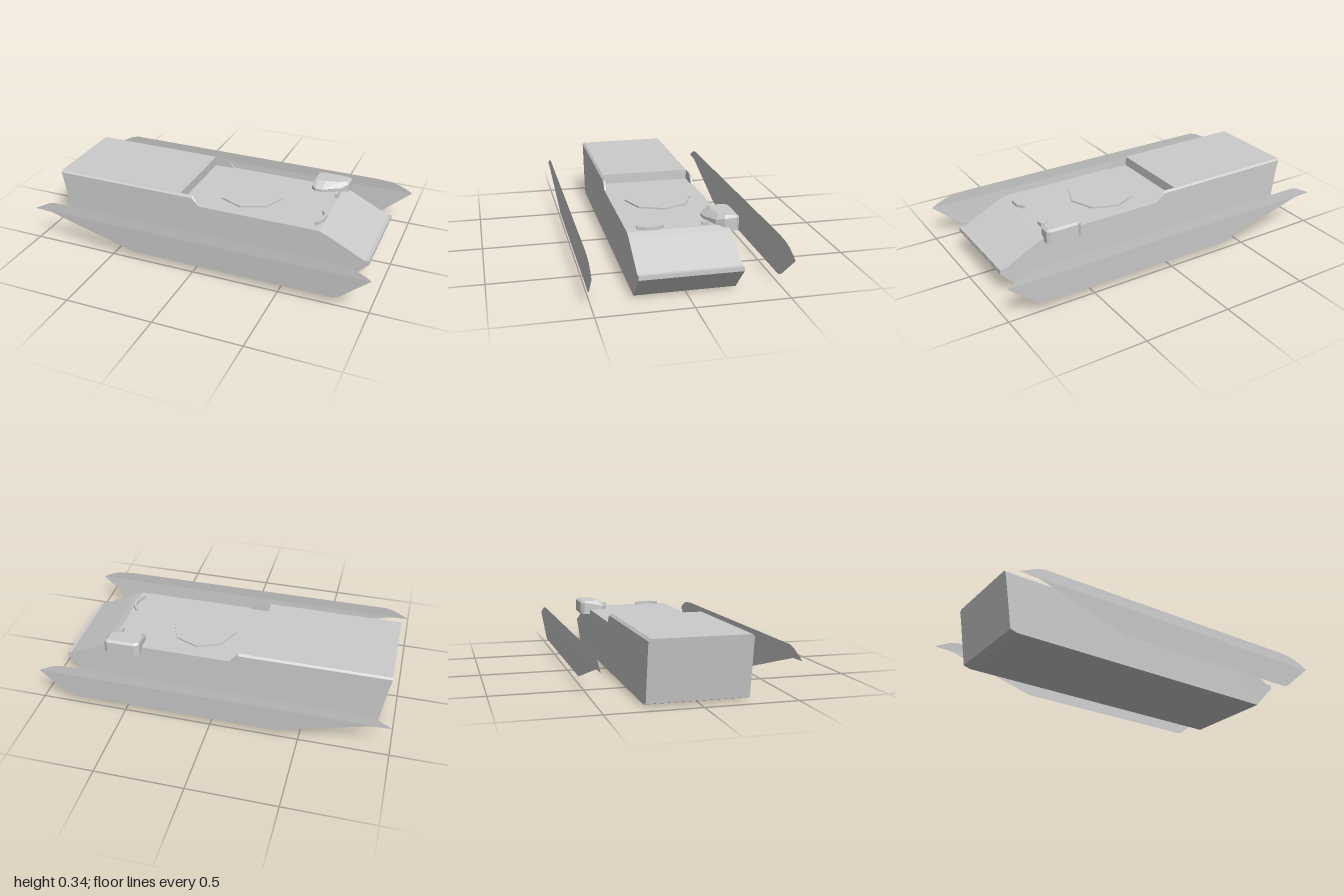
import * as THREE from 'three';

const material = new THREE.MeshStandardMaterial({ color: 0xcccccc, flatShading: true, side: THREE.DoubleSide });

function addMesh(parent, name, geometry) {
  const mesh = new THREE.Mesh(geometry, material);
  mesh.name = name;
  parent.add(mesh);
  return mesh;
}

const toShape = (points) => new THREE.Shape(points.map(([x, y]) => new THREE.Vector2(x, y)));

// Side profile (x, y) extruded from z0 to z1
function profile(points, z0, z1) {
  const geometry = new THREE.ExtrudeGeometry(toShape(points), { depth: z1 - z0, bevelEnabled: false });
  return geometry.translate(0, 0, z0);
}

// Closed solid from stacked loops of [x, y, z] corners, capped at both ends
function loft(loops) {
  const n = loops[0].length;
  const index = [];
  for (let r = 0; r < loops.length - 1; r++) {
    for (let i = 0; i < n; i++) {
      const a = r * n + i, b = r * n + (i + 1) % n;
      index.push(a, b, b + n, a, b + n, a + n);
    }
  }
  const top = (loops.length - 1) * n;
  for (let i = 1; i < n - 1; i++) {
    index.push(0, i + 1, i);
    index.push(top, top + i, top + i + 1);
  }
  const geometry = new THREE.BufferGeometry();
  geometry.setAttribute('position', new THREE.Float32BufferAttribute(loops.flat(2), 3));
  geometry.setIndex(index);
  const flat = geometry.toNonIndexed();
  flat.computeVertexNormals();
  return flat;
}

export function createModel() {
  const model = new THREE.Group();
  model.name = 'amphibiousVehicle';

  // Hull with sloped bow plates
  addMesh(model, 'hull', profile([
    [-0.91, 0.012], [-0.87, 0], [0.8, 0], [0.932, 0.14], [0.932, 0.155], [0.91, 0.158],
    [0.69, 0.268], [0.645, 0.285], [-0.952, 0.285],
  ], -0.271, 0.271));

  // Bow lip
  const lip = addMesh(model, 'bowLip', new THREE.BoxGeometry(0.02, 0.016, 0.542));
  lip.position.set(0.921, 0.155, 0);

  // Raised rear roof
  addMesh(model, 'rearRoof', profile([
    [-0.952, 0.284], [-0.18, 0.284], [-0.18, 0.342], [-0.961, 0.342],
  ], -0.26, 0.26));

  // Roof side rails, chamfered along the outer edge
  for (const side of [1, -1]) {
    const z0 = side > 0 ? 0.259 : -0.271;
    const rail = profile([
      [-0.952, 0.284], [-0.06, 0.284], [-0.105, 0.342], [-0.961, 0.342],
    ], z0, z0 + 0.012);
    const p = rail.attributes.position;
    for (let i = 0; i < p.count; i++) {
      if (p.getY(i) > 0.34 && Math.abs(p.getZ(i)) > 0.265) p.setY(i, 0.33);
    }
    addMesh(model, side > 0 ? 'frontRail' : 'backRail', rail);
  }

  // Thin side skirts, standing clear of the hull and bowed outward at mid height
  const upper = [[-1, 0.2], [1, 0.2], [0.97, 0.219], [0.92, 0.241], [0.87, 0.253], [0.78, 0.26],
    [-0.86, 0.26], [-0.9, 0.25], [-0.96, 0.22]];
  const lower = [[-1, 0.2], [-0.89, 0.195], [-0.37, 0.045], [0.8, 0.045], [0.835, 0.058], [1, 0.2]];
  for (const side of [1, -1]) {
    const skirt = new THREE.Group();
    skirt.name = side > 0 ? 'frontSkirt' : 'backSkirt';
    [upper, lower].forEach((outline, k) => {
      const geometry = new THREE.ShapeGeometry(toShape(outline));
      const p = geometry.attributes.position;
      for (let i = 0; i < p.count; i++) {
        p.setZ(i, side * (0.51 - 0.05 * Math.abs(p.getY(i) - 0.2)));
      }
      geometry.computeVertexNormals();
      addMesh(skirt, k ? 'skirtLower' : 'skirtUpper', geometry);
    });
    model.add(skirt);
  }

  // Octagonal deck hatch
  const hatch = addMesh(model, 'deckHatch', new THREE.CylinderGeometry(0.191, 0.191, 0.012, 8));
  hatch.position.set(0.16, 0.288, 0);

  // Sight pod overhanging the back edge; its inner face slopes down to the deck
  const base = [[0.465, -0.185], [0.49, -0.165], [0.53, -0.165], [0.635, -0.205], [0.668, -0.245],
    [0.672, -0.31], [0.655, -0.326], [0.49, -0.326], [0.465, -0.305]];
  const roof = [[0.475, -0.215], [0.49, -0.208], [0.54, -0.208], [0.62, -0.225], [0.652, -0.25],
    [0.656, -0.302], [0.645, -0.312], [0.495, -0.312], [0.475, -0.298]];
  const ring = (points, y) => points.map(([x, z]) => [x, typeof y === 'function' ? y(z) : y, z]);
  addMesh(model, 'sightPod', loft([
    ring(base, 0.257),
    ring(base, (z) => THREE.MathUtils.clamp(0.3 + (-0.165 - z) * 0.3, 0.3, 0.328)),
    ring(roof, 0.339),
  ]));

  // Bent guard on the front deck
  const bend = [[0.605, 0.07], [0.62, 0.07], [0.645, 0.11], [0.645, 0.165], [0.62, 0.215], [0.605, 0.215],
    [0.63, 0.162], [0.63, 0.113]];
  const guard = new THREE.ExtrudeGeometry(toShape(bend), { depth: 0.022, bevelEnabled: false });
  guard.rotateX(Math.PI / 2);
  addMesh(model, 'deckGuard', guard).position.y = 0.303;

  // Small periscope block beside the pod
  const block = addMesh(model, 'periscope', new THREE.BoxGeometry(0.018, 0.024, 0.04));
  block.position.set(0.626, 0.293, -0.152);

  return model;
}
